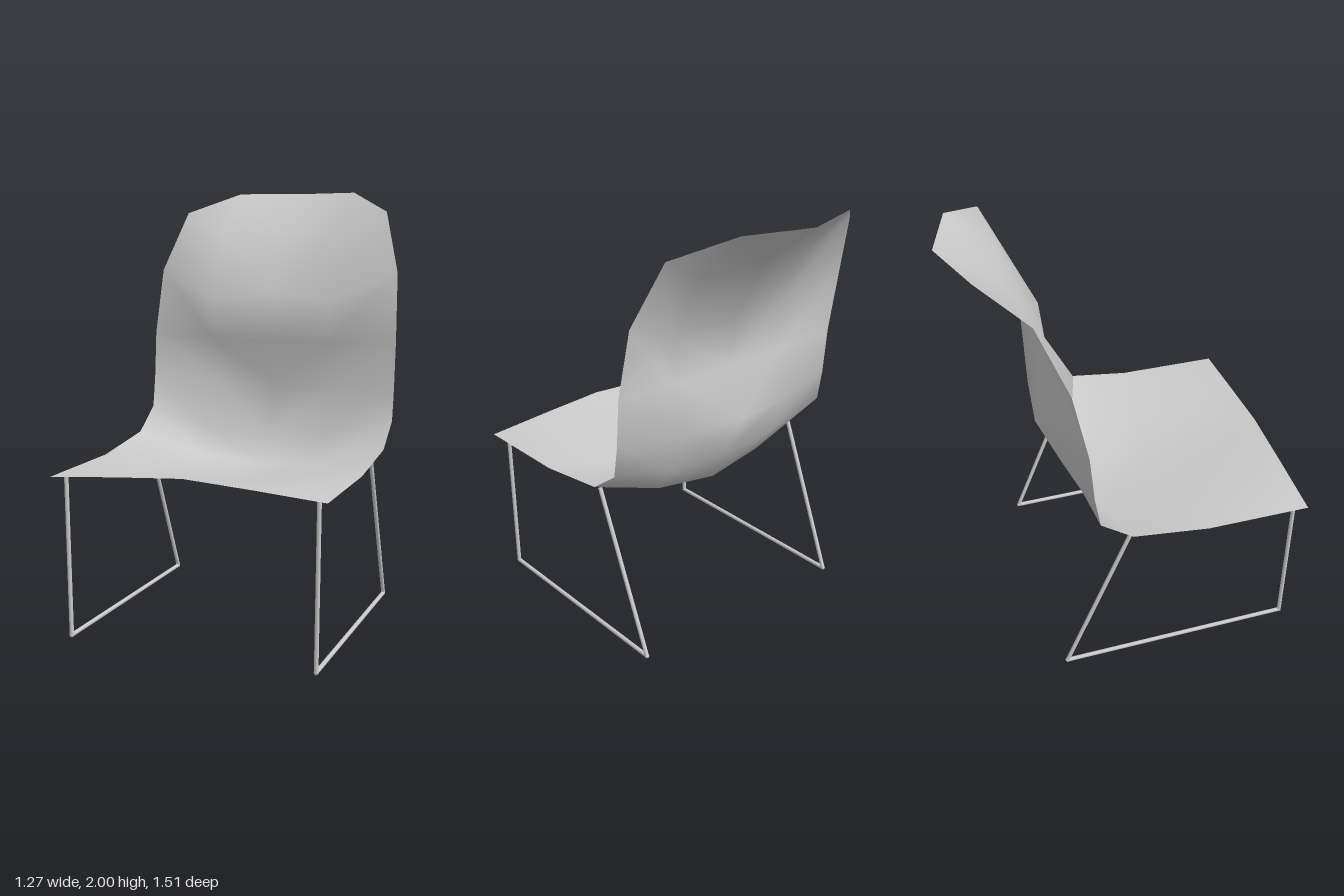
import * as THREE from 'three';

const material = new THREE.MeshStandardMaterial({ color: 0xcccccc, side: THREE.DoubleSide });

// Cross-sections of the shell from the seat's front edge to the top of the back:
// [x, y, z] at the centre, halfway out and at the side; mirrored for -x.
const sections = [
  [[0, 0.79, 0.76], [0.31, 0.77, 0.76], [0.635, 0.745, 0.76]],
  [[0, 0.675, 0.19], [0.31, 0.705, 0.22], [0.635, 0.75, 0.27]],
  [[0, 0.665, -0.17], [0.31, 0.7, -0.145], [0.635, 0.8, -0.09]],
  [[0, 0.81, -0.245], [0.31, 0.82, -0.23], [0.635, 0.91, -0.24]],
  [[0, 1.04, -0.37], [0.31, 1.04, -0.33], [0.635, 1.06, -0.265]],
  [[0, 1.27, -0.28], [0.31, 1.27, -0.275], [0.635, 1.29, -0.285]],
  [[0, 1.5, -0.31], [0.31, 1.48, -0.26], [0.62, 1.61, -0.35]],
  [[0, 1.8, -0.48], [0.31, 1.78, -0.43], [0.53, 1.9, -0.47]],
  [[0, 2, -0.755], [0.31, 2, -0.655]],
];

function shellGeometry() {
  const positions = [], index = [], columns = 5;
  for (const [centre, half, side] of sections) {
    const mirror = ([x, y, z]) => [-x, y, z];
    const row = side
      ? [mirror(side), mirror(half), centre, half, side]
      : [mirror(half), mirror(half), centre, half, half];
    positions.push(...row.flat());
  }
  const last = sections.length - 2;
  for (let r = 0; r <= last; r++) {
    for (let c = 0; c < columns - 1; c++) {
      const a = r * columns + c, b = a + 1, d = a + columns, e = d + 1;
      // The top row is closed by a single triangle at each rounded corner
      if (r === last && c === 0) index.push(a, b, e);
      else if (r === last && c === columns - 2) index.push(a, b, d);
      else if (c < 2) index.push(a, b, d, b, e, d);
      else index.push(a, b, e, a, e, d);
    }
  }
  const geometry = new THREE.BufferGeometry();
  geometry.setAttribute('position', new THREE.Float32BufferAttribute(positions, 3));
  geometry.setIndex(index);
  geometry.computeVertexNormals();
  return geometry;
}

// Thin round rod between two points
function rod(name, from, to) {
  const a = new THREE.Vector3(...from), b = new THREE.Vector3(...to);
  const direction = b.clone().sub(a);
  const mesh = new THREE.Mesh(new THREE.CylinderGeometry(0.01, 0.01, direction.length(), 8), material);
  mesh.name = name;
  mesh.position.copy(a).add(b).multiplyScalar(0.5);
  mesh.quaternion.setFromUnitVectors(new THREE.Vector3(0, 1, 0), direction.normalize());
  return mesh;
}

// Sled frame: front leg, floor rail and raked back leg
function legFrame(name, side, shift) {
  const frame = new THREE.Group();
  frame.name = name;
  const top = side * 0.583, foot = side * 0.576;
  const frontFoot = [foot, 0.012, 0.705 - shift * 0.3];
  const backFoot = [foot, 0.012, -0.367 + shift];
  frame.add(
    rod('frontLeg', [top, 0.745, 0.705 - shift * 0.3], frontFoot),
    rod('floorRail', frontFoot, backFoot),
    rod('backLeg', backFoot, [top, 0.765, -0.06 + shift]),
  );
  // Rounded joints at the feet
  for (const point of [frontFoot, backFoot]) {
    const joint = new THREE.Mesh(new THREE.SphereGeometry(0.011, 8, 6), material);
    joint.name = 'footJoint';
    joint.position.set(...point);
    frame.add(joint);
  }
  return frame;
}

export function createModel() {
  const model = new THREE.Group();
  model.name = 'chair';
  const shell = new THREE.Mesh(shellGeometry(), material);
  shell.name = 'seatShell';
  model.add(shell, legFrame('leftLegFrame', 1, 0), legFrame('rightLegFrame', -1, -0.028));
  return model;
}
